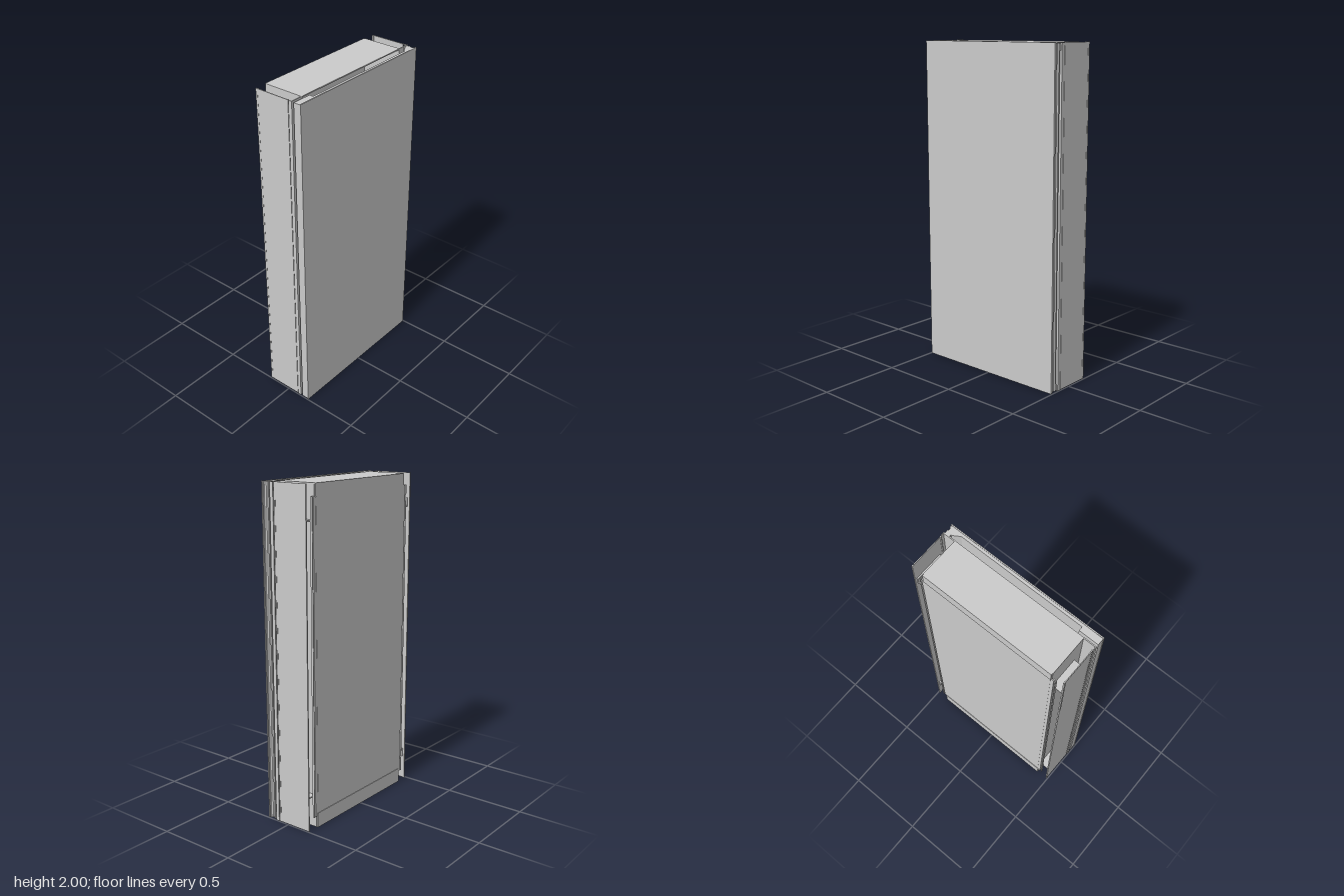
import * as THREE from 'three';

const H = 2;

export function createModel() {
  const model = new THREE.Group();
  const material = new THREE.MeshStandardMaterial({ color: 0xcccccc, side: THREE.DoubleSide, flatShading: true });

  const add = (name, geometry) => {
    const mesh = new THREE.Mesh(geometry, material);
    mesh.name = name;
    model.add(mesh);
    return mesh;
  };
  // Box given by its limits on each axis
  const box = (name, x0, x1, y0, y1, z0, z1) => {
    const geometry = new THREE.BoxGeometry(Math.abs(x1 - x0), y1 - y0, z1 - z0);
    geometry.translate((x0 + x1) / 2, (y0 + y1) / 2, (z0 + z1) / 2);
    return add(name, geometry);
  };
  // Plan outline of [x, z] points raised from y0 to y1
  const prism = (name, points, y0, y1) => {
    const shape = new THREE.Shape(points.map(([x, z]) => new THREE.Vector2(x, -z)));
    const geometry = new THREE.ExtrudeGeometry(shape, { depth: y1 - y0, bevelEnabled: false });
    geometry.rotateX(-Math.PI / 2);
    geometry.translate(0, y0, 0);
    return add(name, geometry);
  };

  // Cabinet shell, open towards the door
  box('cabinetBack', -0.413, 0.413, 0.08, 1.93, -0.157, -0.15);
  box('cabinetTop', -0.416, 0.416, H - 0.007, H, -0.16, 0.095);
  box('cabinetBottom', -0.416, 0.416, 0, 0.007, -0.16, 0.095);
  box('topBackLip', -0.416, 0.416, 1.925, H, -0.16, -0.152);
  box('bottomBackLip', -0.416, 0.416, 0, 0.09, -0.16, -0.152);

  for (const s of [-1, 1]) {
    box('cabinetSide', s * 0.413, s * 0.419, 0, H, -0.15, 0.095);

    // Front frame flange with its returned edge
    box('frameFlange', s * 0.413, s * 0.495, 0, H, 0.09, 0.097);
    box('frameEdge', s * 0.491, s * 0.496, 0, H, 0.075, 0.097);

    // Outer side panel with thickened ends
    box('sidePanel', s * 0.488, s * 0.493, 0, H, -0.155, 0.07);
    box('sidePanelRearHem', s * 0.486, s * 0.494, 0, H, -0.155, -0.143);
    box('sidePanelFrontHem', s * 0.486, s * 0.494, 0, H, 0.06, 0.07);

    // Bent strip on the rear vertical edge
    box('rearStrip', s * 0.413, s * 0.432, 0.07, 1.93, -0.156, -0.15);
    box('rearStripReturn', s * 0.426, s * 0.432, 0.07, 1.93, -0.153, -0.144);
    box('rearStripHook', s * 0.441, s * 0.445, 0.07, 1.93, -0.158, -0.144);
    box('rearStripWeb', s * 0.426, s * 0.445, 0.07, 1.93, -0.148, -0.144);

    // Angled brackets joining the side panel to the cabinet
    for (const y of [0.2, 1.8]) {
      box('bracketPlate', s * 0.419, s * 0.488, y - 0.004, y + 0.004, -0.142, 0.04);
      const y0 = y < 1 ? y - 0.05 : y;
      box('bracketFoot', s * 0.478, s * 0.486, y0, y0 + 0.05, -0.142, 0.04);
    }
  }

  // Door: front sheet and backing profile, lock side at -x and hinge side at +x
  box('doorSheet', -0.497, 0.495, 0, H, 0.151, 0.158);
  prism('doorCore', [
    [-0.495, 0.151], [-0.495, 0.11], [-0.375, 0.11], [-0.375, 0.135],
    [0.41, 0.135], [0.45, 0.109], [0.491, 0.109], [0.491, 0.118],
    [0.484, 0.123], [0.484, 0.132], [0.491, 0.14], [0.491, 0.146], [0.485, 0.151],
  ], 0.003, H - 0.003);

  // Hinges at the top and bottom corners
  for (const y of [0.003, H - 0.043]) {
    box('hinge', 0.457, 0.488, y, y + 0.04, 0.096, 0.112);
  }

  return model;
}
